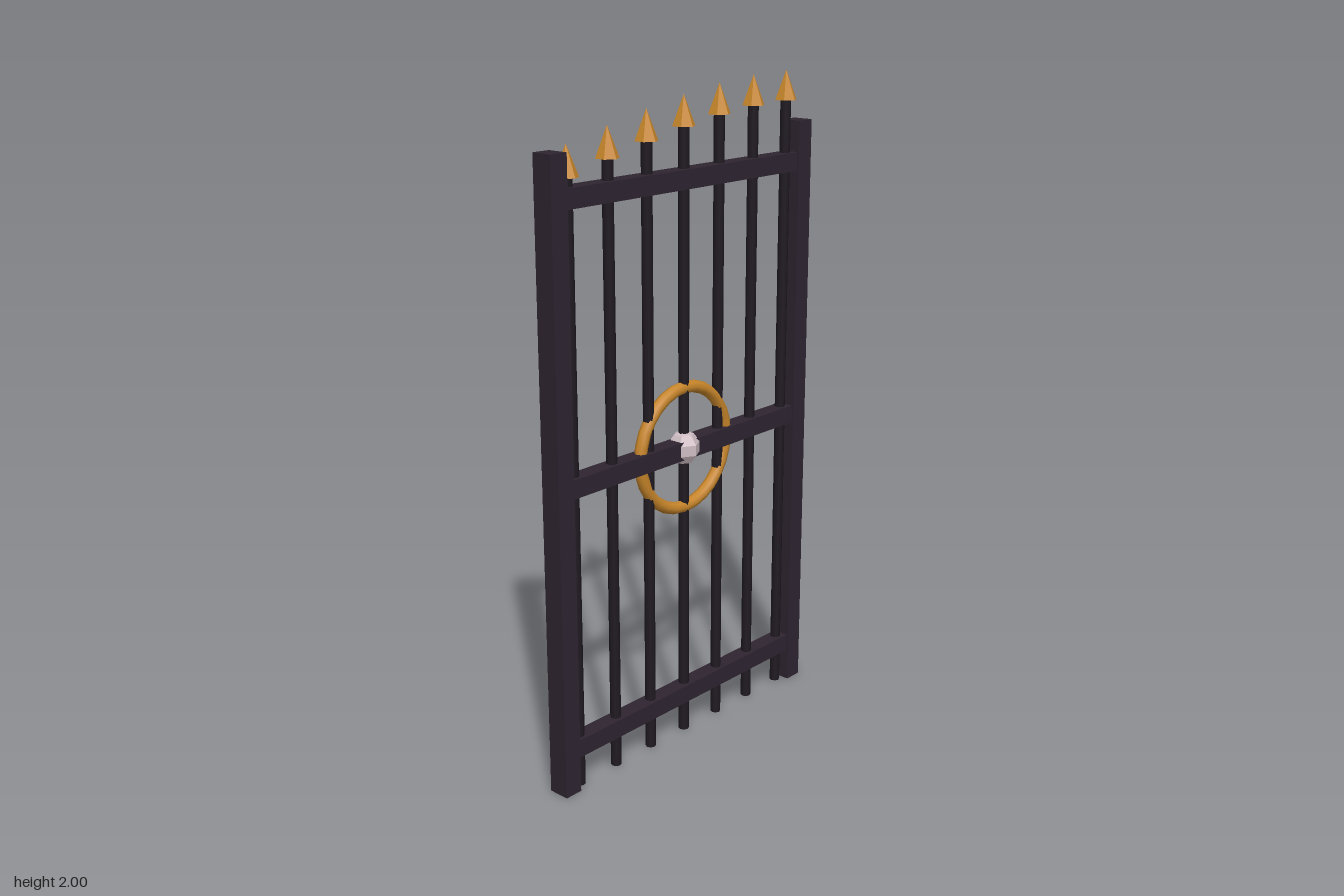
import * as THREE from 'three';

export function createModel() {
  const gate = new THREE.Group();
  gate.name = 'gate';

  const mat = (name, color, flatShading = false) => {
    const m = new THREE.MeshStandardMaterial({ color, flatShading });
    m.name = name;
    return m;
  };
  const frameIron = mat('frame iron', 0x2e2430, true);
  const barIron = mat('bar iron', 0x1f1a21);
  const gold = mat('gold', 0xc8862a);
  const pearl = mat('pale boss', 0xcdbcc2, true);

  const add = (name, geometry, material, x, y, z = 0) => {
    const mesh = new THREE.Mesh(geometry, material);
    mesh.name = name;
    mesh.position.set(x, y, z);
    gate.add(mesh);
    return mesh;
  };

  // Side posts
  const postGeo = new THREE.BoxGeometry(0.058, 1.85, 0.066);
  add('leftPost', postGeo, frameIron, 0.51, 0.925);
  add('rightPost', postGeo, frameIron, -0.51, 0.925);

  // Horizontal rails
  const railGeo = new THREE.BoxGeometry(1.0, 0.056, 0.052);
  add('bottomRail', railGeo, frameIron, 0, 0.131);
  add('middleRail', railGeo, frameIron, 0, 0.929);
  add('topRail', railGeo, frameIron, 0, 1.728);

  // Vertical bars with spear tips, rising along a quarter sine
  const tipHeight = 0.088;
  // Non-indexed so the six cone faces stay crisp with a shared material
  const tipGeo = new THREE.ConeGeometry(0.034, tipHeight, 6).toNonIndexed();
  tipGeo.computeVertexNormals();
  for (let i = 0; i < 7; i++) {
    const x = (i - 3) * 0.151;
    const top = 1.868 + 0.132 * Math.sin((i / 6) * Math.PI / 2);
    const barHeight = top - tipHeight;
    add('bar', new THREE.CylinderGeometry(0.016, 0.016, barHeight, 8), barIron, x, barHeight / 2);
    add('spearTip', tipGeo, gold, x, top - tipHeight / 2);
  }

  // Central ring and faceted boss
  add('ring', new THREE.TorusGeometry(0.186, 0.019, 8, 28), gold, 0, 0.93);
  const boss = add('boss', new THREE.SphereGeometry(0.052, 6, 5), pearl, 0, 0.93);
  boss.rotation.y = Math.PI / 2;

  return gate;
}
